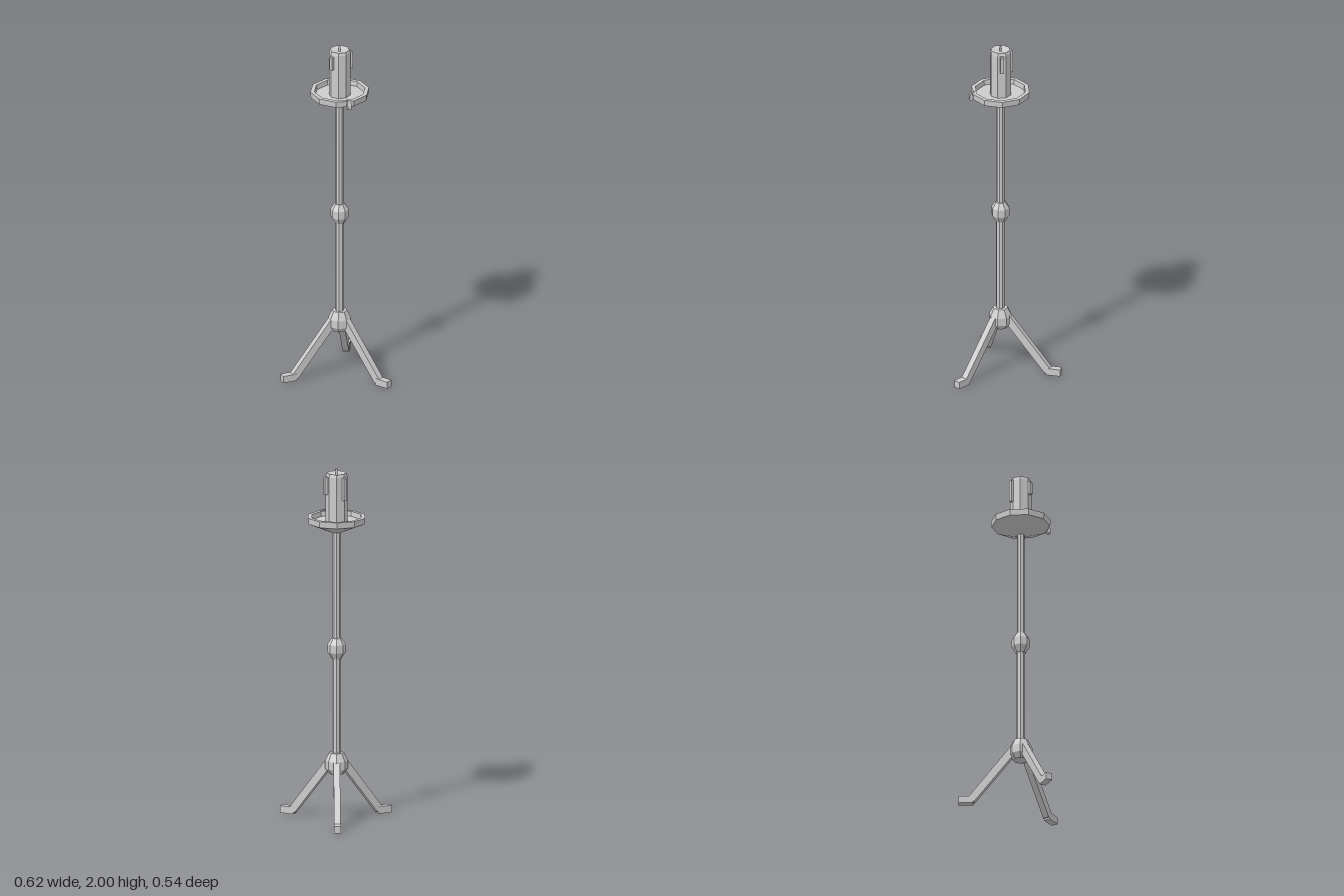
import * as THREE from 'three';

export function createModel() {
  const metal = new THREE.MeshStandardMaterial({ color: 0xcccccc, flatShading: true });
  metal.name = 'paleGrey';
  const model = new THREE.Group();
  model.name = 'candleStand';
  // everything hangs on one axis, a little in front of the centre
  const stand = new THREE.Group();
  stand.name = 'stand';
  stand.position.z = 0.077;
  model.add(stand);

  const add = (name, geometry) => {
    const mesh = new THREE.Mesh(geometry, metal);
    mesh.name = name;
    stand.add(mesh);
    return mesh;
  };
  // turned part: [radius, height] pairs, listed from the bottom up the outside
  const turned = (name, sides, profile) =>
    add(name, new THREE.LatheGeometry(profile.map(([r, y]) => new THREE.Vector2(r, y)), sides));
  // plate standing radially: [radius, height] outline, thickened and swung round the axis
  const radial = (name, outline, width, degrees) => {
    const shape = new THREE.Shape(outline.map(([r, y]) => new THREE.Vector2(r, y)));
    const geometry = new THREE.ExtrudeGeometry(shape, { depth: width, bevelEnabled: false });
    geometry.translate(0, 0, -width / 2);
    add(name, geometry).rotation.y = THREE.MathUtils.degToRad(degrees);
  };

  // pole and its knobs
  turned('pole', 8, [[0.024, 0.3], [0.024, 0.95], [0.022, 1.0], [0.022, 1.66]]);
  turned('middleKnob', 8, [[0, 0.917], [0.028, 0.917], [0.051, 0.955], [0.051, 1.0], [0.028, 1.035], [0, 1.035]]);
  turned('hub', 8, [[0, 0.26], [0.042, 0.26], [0.064, 0.29], [0.064, 0.335], [0.042, 0.38], [0, 0.38]]);

  // three legs with flat feet
  for (const angle of [90, -30, -150]) {
    radial('leg', [[0.03, 0.3], [0.257, 0.01], [0.29, 0.01], [0.29, 0.038], [0.052, 0.345], [0.03, 0.345]], 0.036, angle);
    radial('foot', [[0.265, 0], [0.347, 0], [0.347, 0.04], [0.265, 0.04]], 0.039, angle);
  }

  // drip dish
  turned('dish', 10, [[0, 1.64], [0.032, 1.64], [0.163, 1.695], [0.166, 1.73], [0.143, 1.73], [0.14, 1.702], [0, 1.702]]);
  radial('dishDrip', [[0.15, 1.69], [0.168, 1.68], [0.177, 1.685], [0.177, 1.7], [0.165, 1.735], [0.15, 1.735]], 0.022, -64);

  // candle with a hollowed top, wick and wax runs
  turned('candle', 8, [[0, 1.7], [0.06, 1.7], [0.06, 1.962], [0.055, 1.978], [0, 1.966]]);
  const wick = add('wick', new THREE.BoxGeometry(0.011, 0.04, 0.009));
  wick.position.y = 1.98;
  for (const [angle, low, high] of [[22.5, 1.86, 1.96], [130.6, 1.83, 1.96], [-125.6, 1.875, 1.95]]) {
    radial('waxRun', [[0.045, low], [0.074, low], [0.074, high - 0.006], [0.068, high], [0.045, high]], 0.019, angle);
  }
  return model;
}
